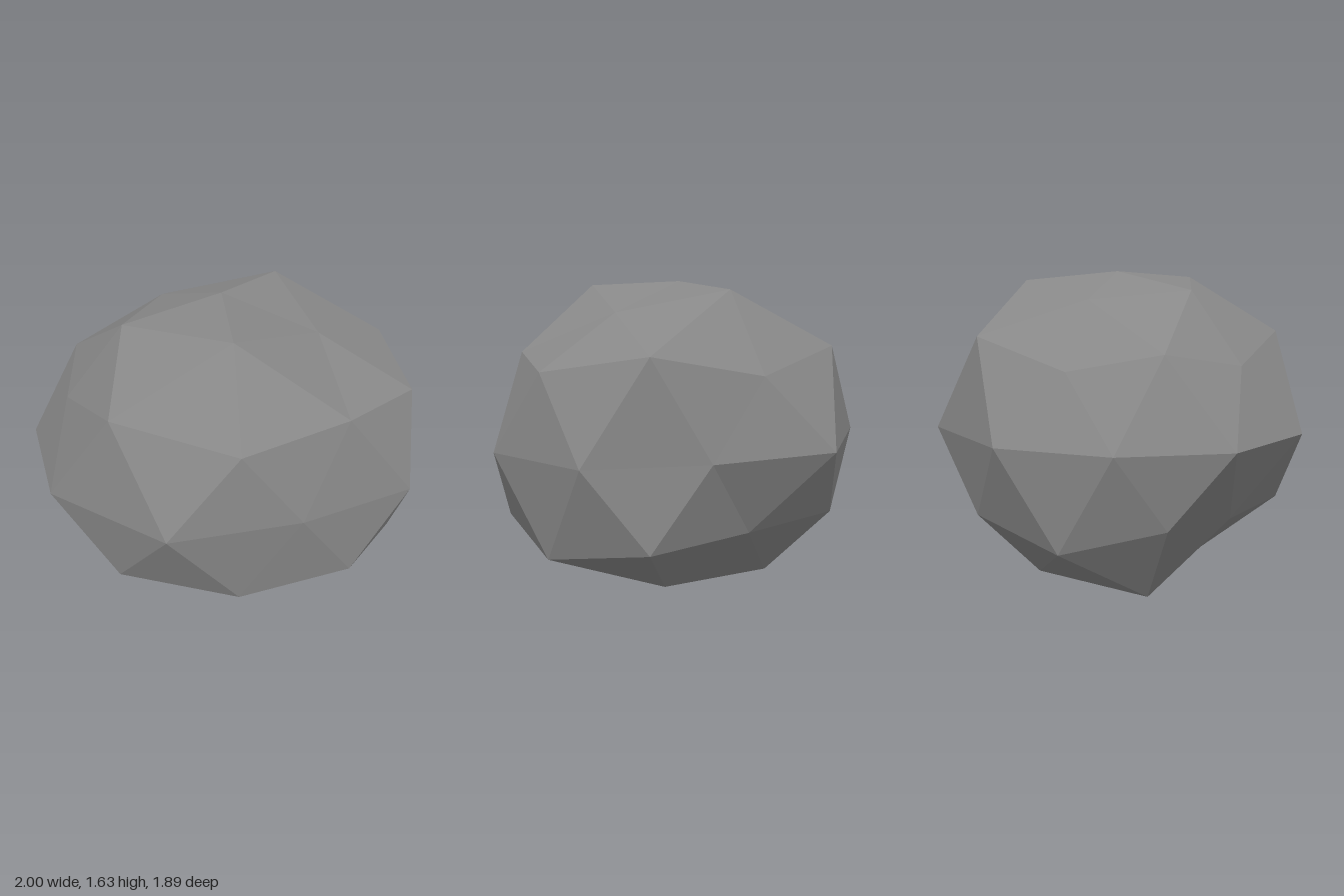
import * as THREE from 'three';

// Low-poly boulder: a once-subdivided icosahedron, each corner pushed in or out
// along its own direction, then stretched sideways.
const CENTRE = [-0.02, 0.84, 0];
const STRETCH = [1.18, 0.96, 1];

function corner(height, degrees, reach) {
  const a = THREE.MathUtils.degToRad(degrees);
  const flat = Math.sqrt(1 - height * height);
  const dir = [flat * Math.cos(a), height, flat * Math.sin(a)];
  return dir.map((d, i) => CENTRE[i] + d * STRETCH[i] * reach);
}

// Five corners spaced evenly round the vertical axis
const ring = (height, start, reaches) =>
  reaches.map((r, k) => corner(height, start + 72 * k, r));

function boulderGeometry() {
  const top = corner(1, 0, 0.823);
  const topRing = ring(0.851, 0, [0.78, 0.943, 0.84, 0.785, 0.913]);
  const upper = ring(0.447, 0, [0.91, 0.888, 0.792, 0.768, 0.852]);
  const upperMid = ring(0.526, 36, [0.872, 0.957, 0.807, 0.932, 0.93]);
  const beltA = ring(0, 18, [0.907, 0.945, 0.873, 0.89, 0.805]);
  const beltB = ring(0, 54, [0.81, 0.935, 0.829, 0.95, 0.883]);
  const lowerMid = ring(-0.526, 0, [0.946, 0.922, 0.79, 0.925, 0.785]);
  const lower = ring(-0.447, 36, [0.922, 0.945, 0.834, 0.915, 0.917]);
  const bottomRing = ring(-0.851, 36, [0.832, 0.87, 0.952, 0.927, 0.87]);
  const bottom = corner(-1, 0, 0.875);

  // One large triangle split into four through its edge midpoints
  const positions = [];
  const split = (a, b, c, ab, bc, ca) =>
    positions.push(...[a, ab, ca, ab, b, bc, ca, bc, c, ab, bc, ca].flat());

  for (let k = 0; k < 5; k++) {
    const n = (k + 1) % 5;
    const p = (k + 4) % 5;
    split(top, upper[n], upper[k], topRing[n], upperMid[k], topRing[k]);
    split(upper[k], upper[n], lower[k], upperMid[k], beltB[k], beltA[k]);
    split(upper[k], lower[k], lower[p], beltA[k], lowerMid[k], beltB[p]);
    split(bottom, lower[k], lower[n], bottomRing[k], lowerMid[n], bottomRing[n]);
  }

  const geometry = new THREE.BufferGeometry();
  geometry.setAttribute('position', new THREE.Float32BufferAttribute(positions, 3));
  geometry.computeVertexNormals();
  return geometry;
}

export function createModel() {
  const stone = new THREE.MeshStandardMaterial({ color: 0x888888, flatShading: true });
  stone.name = 'stoneGrey';

  const boulder = new THREE.Mesh(boulderGeometry(), stone);
  boulder.name = 'boulder';

  const model = new THREE.Group();
  model.name = 'rock';
  model.add(boulder);
  return model;
}
